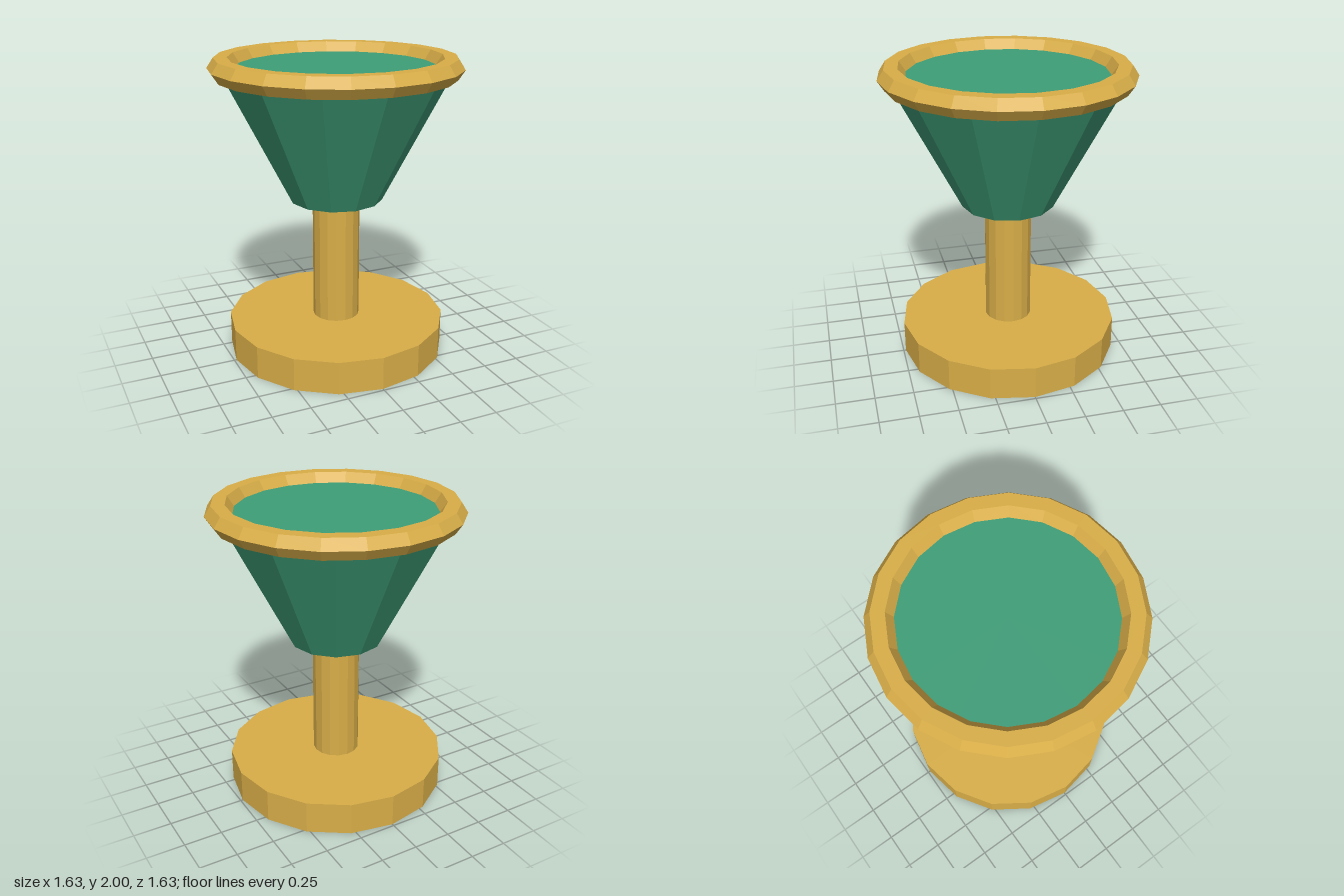
import * as THREE from 'three';

export function createModel() {
  const model = new THREE.Group();
  model.name = 'goblet';

  const gold = new THREE.MeshStandardMaterial({ color: 0xd9ae48, flatShading: true });
  gold.name = 'gold';
  const green = new THREE.MeshStandardMaterial({ color: 0x3f9e78, flatShading: true });
  green.name = 'green';

  const add = (name, geometry, material) => {
    const mesh = new THREE.Mesh(geometry, material);
    mesh.name = name;
    model.add(mesh);
  };

  // Faceted solid of revolution standing between two heights
  const drum = (topRadius, bottomRadius, y0, y1, sides) =>
    new THREE.CylinderGeometry(topRadius, bottomRadius, y1 - y0, sides).translate(0, (y0 + y1) / 2, 0);

  add('base', drum(0.735, 0.735, 0, 0.22, 16), gold);
  add('stem', drum(0.157, 0.157, 0.22, 1.055, 16), gold);

  // Tapered bowl, closed on top just below the lip
  add('bowl', drum(0.76, 0.308, 1.055, 1.935, 12), green);

  // Rim: a flattened hexagonal section swept around the lip
  const section = [];
  for (let i = 0; i <= 6; i++) {
    const a = (i * Math.PI) / 3;
    section.push(new THREE.Vector2(0.731 + 0.086 * Math.cos(a), 1.935 + 0.075 * Math.sin(a)));
  }
  add('rim', new THREE.LatheGeometry(section, 20), gold);

  return model;
}
